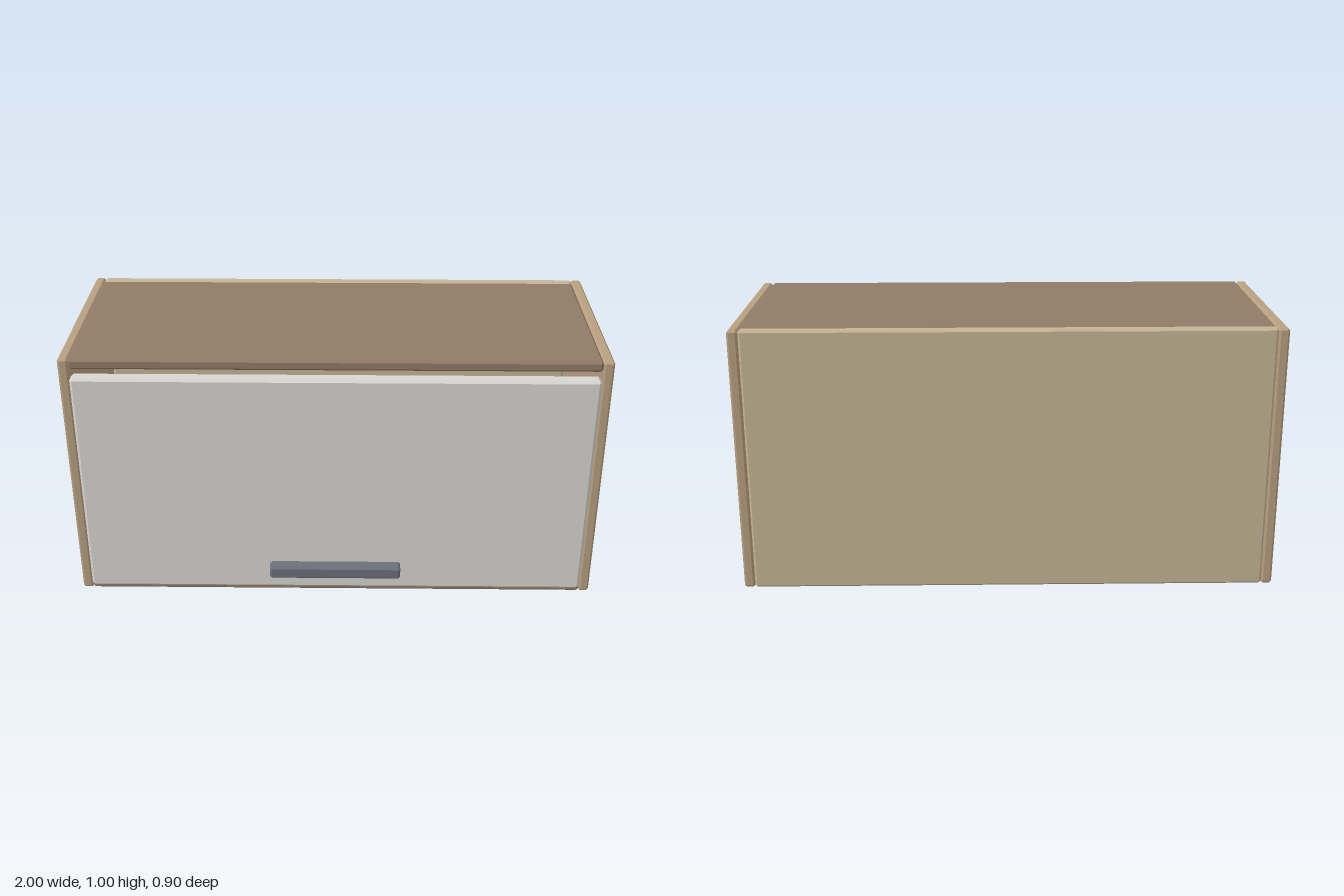
import * as THREE from 'three';
import { ConvexGeometry } from 'three/addons/geometries/ConvexGeometry.js';

const material = (color) => new THREE.MeshStandardMaterial({ color, flatShading: true });

// Box with a flat chamfer c along every edge: each corner becomes three points
function chamferBox(w, h, d, c) {
  const points = [];
  for (const sx of [-1, 1]) for (const sy of [-1, 1]) for (const sz of [-1, 1]) {
    for (let axis = 0; axis < 3; axis++) {
      const inset = [0, 1, 2].map((i) => (i === axis ? 0 : c));
      points.push(new THREE.Vector3(
        sx * (w / 2 - inset[0]), sy * (h / 2 - inset[1]), sz * (d / 2 - inset[2])));
    }
  }
  return new ConvexGeometry(points);
}

export function createModel() {
  const group = new THREE.Group();
  group.name = 'wallCabinet';

  const sideWood = material(0xb89f80);
  const darkWood = material(0x917a67);
  const backWood = material(0xc6b596);
  const doorPaint = material(0xd8d6d2);
  const metal = material(0x6c7078);

  // Adds a chamfered panel filling the given [min, max] ranges
  function panel(name, mat, x, y, z, chamfer = 0.008) {
    const mesh = new THREE.Mesh(
      chamferBox(x[1] - x[0], y[1] - y[0], z[1] - z[0], chamfer), mat);
    mesh.position.set((x[0] + x[1]) / 2, (y[0] + y[1]) / 2, (z[0] + z[1]) / 2);
    mesh.name = name;
    group.add(mesh);
  }

  const back = -0.45, front = 0.345, t = 0.04;

  // Carcass: two sides, top, bottom and back
  panel('leftSide', sideWood, [1 - t, 1], [0, 1], [back, front]);
  panel('rightSide', sideWood, [-1, -1 + t], [0, 1], [back, front]);
  panel('topPanel', darkWood, [-1 + t, 1 - t], [1 - t, 1], [back + t, front]);
  panel('bottomPanel', darkWood, [-1 + t, 1 - t], [0, t], [back + t, front]);
  panel('backPanel', backWood, [-1 + t, 1 - t], [0, 1], [back, back + t]);

  // Flap door standing in front of the carcass, with its bar handle
  panel('door', doorPaint, [-0.95, 0.95], [0.05, 0.95], [front, 0.4], 0.01);
  panel('handle', metal, [-0.25, 0.25], [0.125, 0.177], [0.4, 0.452]);

  return group;
}
